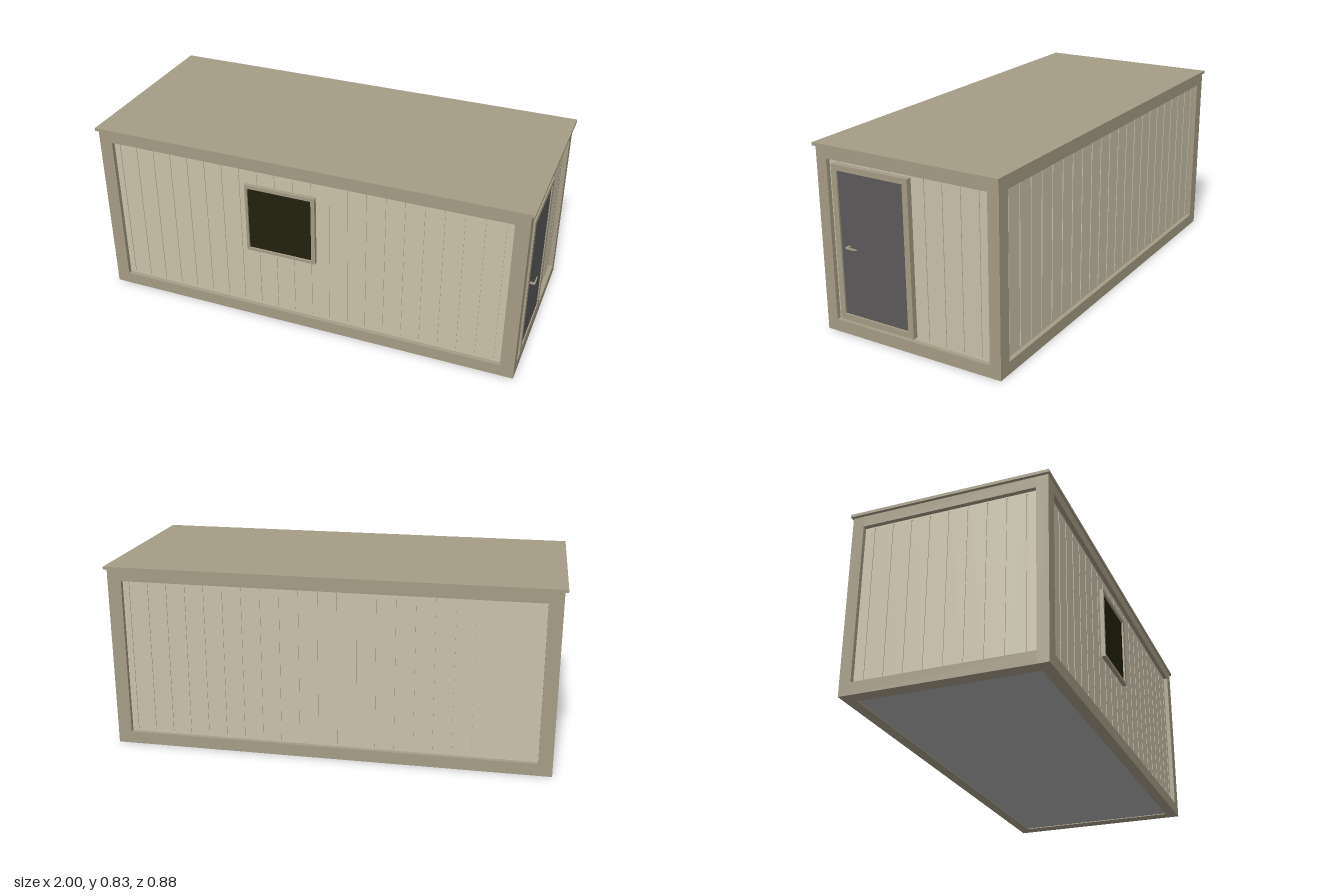
import * as THREE from 'three';

const mat = (name, color) => {
  const m = new THREE.MeshStandardMaterial({ color });
  m.name = name;
  return m;
};

// Half sizes of the body, wall opening and levels
const HX = 0.981, HZ = 0.435, POST_X = 0.062, POST_Z = 0.051;
const OPEN_LOW = 0.055, OPEN_TOP = 0.77, BODY_TOP = 0.82, ROOF_TOP = 0.833;
const RECESS = 0.02, GROOVE = 0.006, GROOVE_DEPTH = 0.004, PITCH = 0.0846;

export function createModel() {
  const frameMat = mat('frame beige', 0xa59c85);
  const panelMat = mat('panel cream', 0xc9c1a9);
  const doorMat = mat('door grey', 0x5c5959);
  const glassMat = mat('window glass', 0x22200d);
  const floorMat = mat('floor grey', 0xaeaeae);

  const model = new THREE.Group();
  model.name = 'cabin';
  const body = new THREE.Group();
  body.name = 'body';
  body.position.x = -0.004;
  model.add(body);

  const add = (parent, name, geometry, material, x = 0, y = 0, z = 0) => {
    const mesh = new THREE.Mesh(geometry, material);
    mesh.name = name;
    mesh.position.set(x, y, z);
    parent.add(mesh);
    return mesh;
  };
  const box = (parent, name, material, w, h, d, x, y, z) =>
    add(parent, name, new THREE.BoxGeometry(w, h, d), material, x, y, z);

  const rect = (Type, x0, y0, x1, y1) => {
    const p = new Type();
    p.moveTo(x0, y0);
    p.lineTo(x1, y0);
    p.lineTo(x1, y1);
    p.lineTo(x0, y1);
    p.closePath();
    return p;
  };
  const extrude = (shape, depth) =>
    new THREE.ExtrudeGeometry(shape, { depth, bevelEnabled: false });

  // Rectangular surround with an opening, from [x0, y0, x1, y1] bounds
  const surround = (outer, inner, depth) => {
    const shape = rect(THREE.Shape, ...outer);
    shape.holes.push(rect(THREE.Path, ...inner));
    return extrude(shape, depth);
  };

  // Corner posts
  for (const sx of [-1, 1]) for (const sz of [-1, 1]) {
    box(body, 'cornerPost', frameMat, POST_X, BODY_TOP, POST_Z,
      sx * (HX - POST_X / 2), BODY_TOP / 2, sz * (HZ - POST_Z / 2));
  }

  // Bottom and top rails
  for (const [low, high] of [[0, OPEN_LOW], [OPEN_TOP, BODY_TOP]]) {
    const h = high - low, y = (low + high) / 2;
    for (const s of [-1, 1]) {
      box(body, 'longRail', frameMat, 2 * (HX - POST_X), h, POST_Z, 0, y, s * (HZ - POST_Z / 2));
      box(body, 'endRail', frameMat, POST_X, h, 2 * (HZ - POST_Z), s * (HX - POST_X / 2), y, 0);
    }
  }

  // Roof slab and recessed floor
  box(body, 'roof', frameMat, 0.995 * 2, ROOF_TOP - BODY_TOP, 0.442 * 2,
    0, (ROOF_TOP + BODY_TOP) / 2, 0);
  box(body, 'floor', floorMat, 2 * (HX - POST_X), 0.03, 2 * (HZ - POST_Z), 0, 0.019, 0);

  // Grooved wall cladding; local z = 0 is the outer face of the frame
  const makeWall = (name, halfWidth, firstGroove, distance, angle) => {
    const wall = new THREE.Group();
    wall.name = name;
    const shape = rect(THREE.Shape, -halfWidth, OPEN_LOW, halfWidth, OPEN_TOP);
    for (let x = firstGroove; x < halfWidth - 0.02; x += PITCH) {
      shape.holes.push(rect(THREE.Path,
        x - GROOVE / 2, OPEN_LOW + 0.008, x + GROOVE / 2, OPEN_TOP - 0.008));
    }
    add(wall, 'cladding', extrude(shape, GROOVE_DEPTH), panelMat, 0, 0, -RECESS - GROOVE_DEPTH);
    box(wall, 'claddingBack', panelMat, 2 * halfWidth, OPEN_TOP - OPEN_LOW, 0.01,
      0, (OPEN_TOP + OPEN_LOW) / 2, -RECESS - GROOVE_DEPTH - 0.005);
    wall.rotation.y = angle;
    wall.position.set(Math.sin(angle) * distance, 0, Math.cos(angle) * distance);
    body.add(wall);
    return wall;
  };
  const longHalf = HX - POST_X, endHalf = HZ - POST_Z;
  const front = makeWall('frontWall', longHalf, -0.888, HZ, 0);
  makeWall('backWall', longHalf, -0.888, HZ, Math.PI);
  const doorEnd = makeWall('doorWall', endHalf, -0.338, HX, Math.PI / 2);
  makeWall('plainEndWall', endHalf, -0.338, HX, -Math.PI / 2);

  // Window: surround and dark pane
  const win = new THREE.Group();
  win.name = 'window';
  front.add(win);
  add(win, 'windowFrame',
    surround([-0.266, 0.357, 0.064, 0.692], [-0.254, 0.37, 0.046, 0.676], 0.018),
    frameMat, 0, 0, -RECESS);
  box(win, 'windowPane', glassMat, 0.302, 0.308, 0.006, -0.104, 0.523, -0.013);

  // Door: surround, leaf and lever handle
  const door = new THREE.Group();
  door.name = 'door';
  doorEnd.add(door);
  add(door, 'doorFrame',
    surround([-0.357, 0.07, 0.022, 0.755], [-0.331, 0.097, -0.004, 0.73], RECESS + 0.005),
    frameMat, 0, 0, -RECESS);
  box(door, 'doorLeaf', doorMat, 0.323, 0.629, 0.018, -0.1675, 0.4135, -0.009);

  const lever = new THREE.Shape();
  lever.moveTo(-0.293, 0.405);
  lever.lineTo(-0.25, 0.405);
  lever.lineTo(-0.232, 0.409);
  lever.lineTo(-0.25, 0.413);
  lever.lineTo(-0.293, 0.413);
  lever.closePath();
  add(door, 'doorHandle', extrude(lever, 0.005), frameMat, 0, 0, 0.018);
  box(door, 'handleStem', frameMat, 0.008, 0.008, 0.02, -0.288, 0.409, 0.009);

  return model;
}
